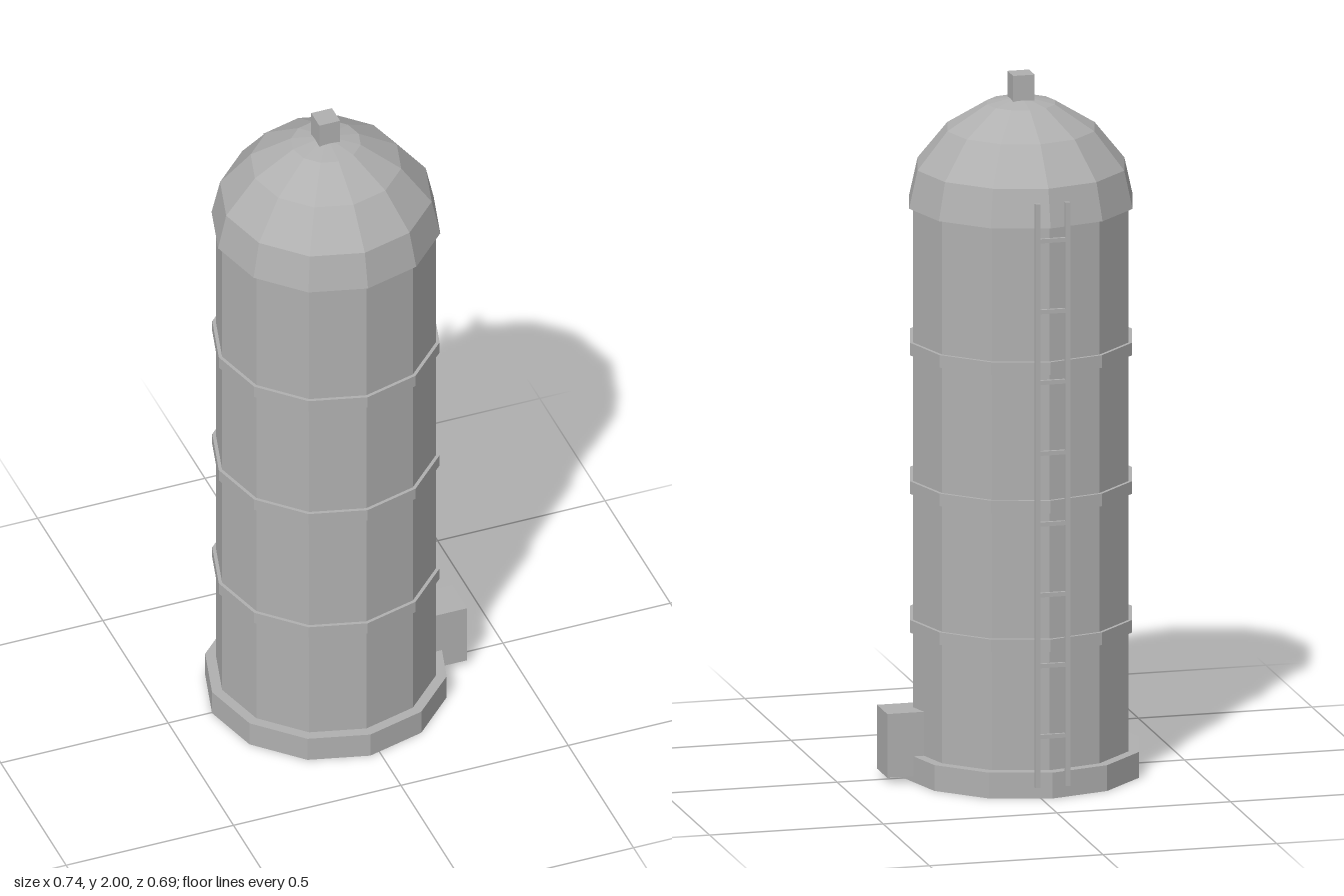
import * as THREE from 'three';

export function createModel() {
  const model = new THREE.Group();
  model.name = 'storageSilo';
  const steel = new THREE.MeshStandardMaterial({ color: 0xb0b0b0, flatShading: true });
  steel.name = 'grey steel';
  const SIDES = 12, CX = -0.03, CZ = 0.003;

  const add = (name, geometry, x, y, z, parent = model) => {
    const mesh = new THREE.Mesh(geometry, steel);
    mesh.name = name;
    mesh.position.set(x, y, z);
    parent.add(mesh);
    return mesh;
  };
  // twelve-sided drum between two heights
  const drum = (name, r, y0, y1) =>
    add(name, new THREE.CylinderGeometry(r, r, y1 - y0, SIDES), CX, (y0 + y1) / 2, CZ);
  // box given by its extents
  const box = (name, x0, x1, y0, y1, z0, z1, parent) =>
    add(name, new THREE.BoxGeometry(x1 - x0, y1 - y0, z1 - z0),
      (x0 + x1) / 2, (y0 + y1) / 2, (z0 + z1) / 2, parent);

  // tank wall, foundation and hoops
  drum('foundation', 0.34, 0, 0.074);
  drum('tankWall', 0.31, 0.07, 1.64);
  [0.415, 0.813, 1.21].forEach((y, i) => drum('hoop' + (i + 1), 0.32, y, y + 0.036));

  // faceted dome with a closed underside
  const profile = [[0, 1.63], [0.322, 1.63], [0.298, 1.738], [0.212, 1.845], [0.098, 1.915], [0, 1.935]]
    .map(([r, y]) => new THREE.Vector2(r, y));
  add('dome', new THREE.LatheGeometry(profile, SIDES), CX, 0, CZ);

  // roof vent and side control box
  box('roofVent', -0.061, 0.001, 1.92, 2, -0.03, 0.032);
  box('controlBox', 0.265, 0.37, 0.017, 0.2, -0.055, 0.057);

  // ladder on the back
  const ladder = new THREE.Group();
  ladder.name = 'ladder';
  model.add(ladder);
  for (const s of [-1, 1]) {
    const x = CX + s * 0.043;
    box(s < 0 ? 'rightRail' : 'leftRail', x - 0.007, x + 0.007, 0.035, 1.708, -0.345, -0.332, ladder);
  }
  for (let i = 0; i < 8; i++) {
    const y = 0.18 + i * 0.203;
    box('rung' + (i + 1), CX - 0.04, CX + 0.04, y - 0.006, y + 0.006, -0.343, -0.334, ladder);
  }
  return model;
}
